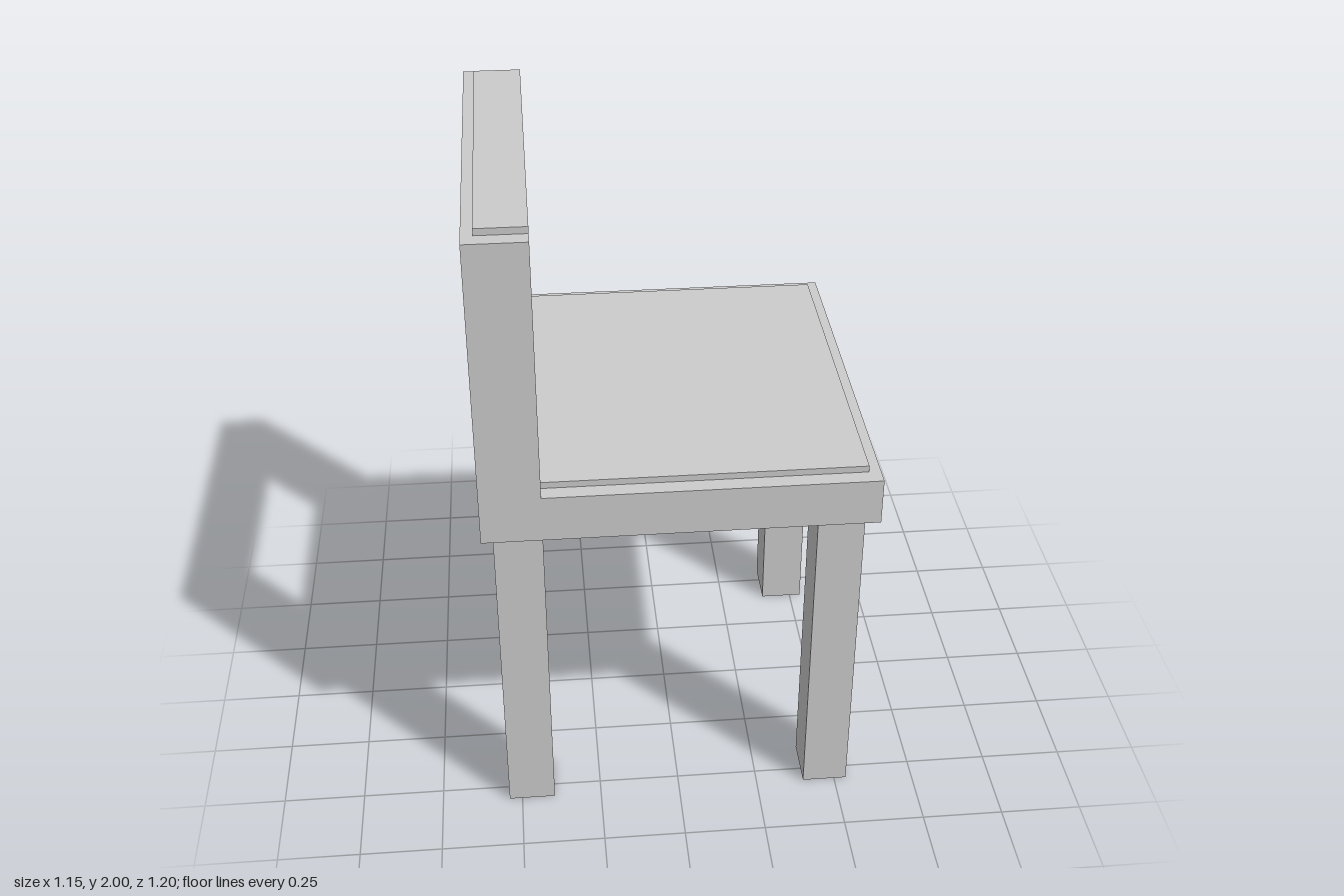
import * as THREE from 'three';

const material = new THREE.MeshStandardMaterial({ color: 0xcccccc, flatShading: true });

export function createModel() {
  const group = new THREE.Group();
  group.name = 'chair';

  const add = (name, geometry) => {
    const mesh = new THREE.Mesh(geometry, material);
    mesh.name = name;
    group.add(mesh);
    return mesh;
  };

  // Box given by its limits on each axis
  const box = (name, [x0, x1], [y0, y1], [z0, z1]) => {
    const mesh = add(name, new THREE.BoxGeometry(x1 - x0, y1 - y0, z1 - z0));
    mesh.position.set((x0 + x1) / 2, (y0 + y1) / 2, (z0 + z1) / 2);
  };

  const halfX = 0.573, halfZ = 0.602;
  const backFront = -0.397; // front plane of the backrest
  const seatBottom = 1.043, seatTop = 1.187, backTop = 1.98;

  // Seat slab with a slightly raised, inset panel
  box('seat', [-halfX, halfX], [seatBottom, seatTop], [-halfZ, halfZ]);
  box('seatPanel', [backFront, 0.538], [seatTop, 1.207], [-0.553, 0.553]);

  // Legs and backrest posts, mirrored left and right
  for (const [side, s] of [['left', 1], ['right', -1]]) {
    const legZ = [0.4 * s, 0.553 * s].sort((a, b) => a - b);
    const postZ = [0.4 * s, halfZ * s].sort((a, b) => a - b);
    box(side + 'FrontLeg', [0.4, 0.538], [0, seatBottom], legZ);
    box(side + 'BackLeg', [-0.54, backFront], [0, seatBottom], legZ);
    box(side + 'BackPost', [-halfX, backFront], [seatTop, backTop], postZ);
  }

  // Sill below the backrest opening
  box('backSill', [-halfX, backFront], [seatTop, 1.217], [-0.4, 0.4]);

  // Top rail with a gently sloped underside
  const rail = new THREE.Shape([
    new THREE.Vector2(-halfX, 1.848),
    new THREE.Vector2(backFront, 1.864),
    new THREE.Vector2(backFront, backTop),
    new THREE.Vector2(-halfX, backTop),
  ]);
  const railGeometry = new THREE.ExtrudeGeometry(rail, { depth: 0.8, bevelEnabled: false });
  railGeometry.translate(0, 0, -0.4);
  add('topRail', railGeometry);

  // Thin inset cap on the rail
  box('railCap', [-0.54, backFront], [backTop, 2], [-0.553, 0.553]);

  return group;
}
